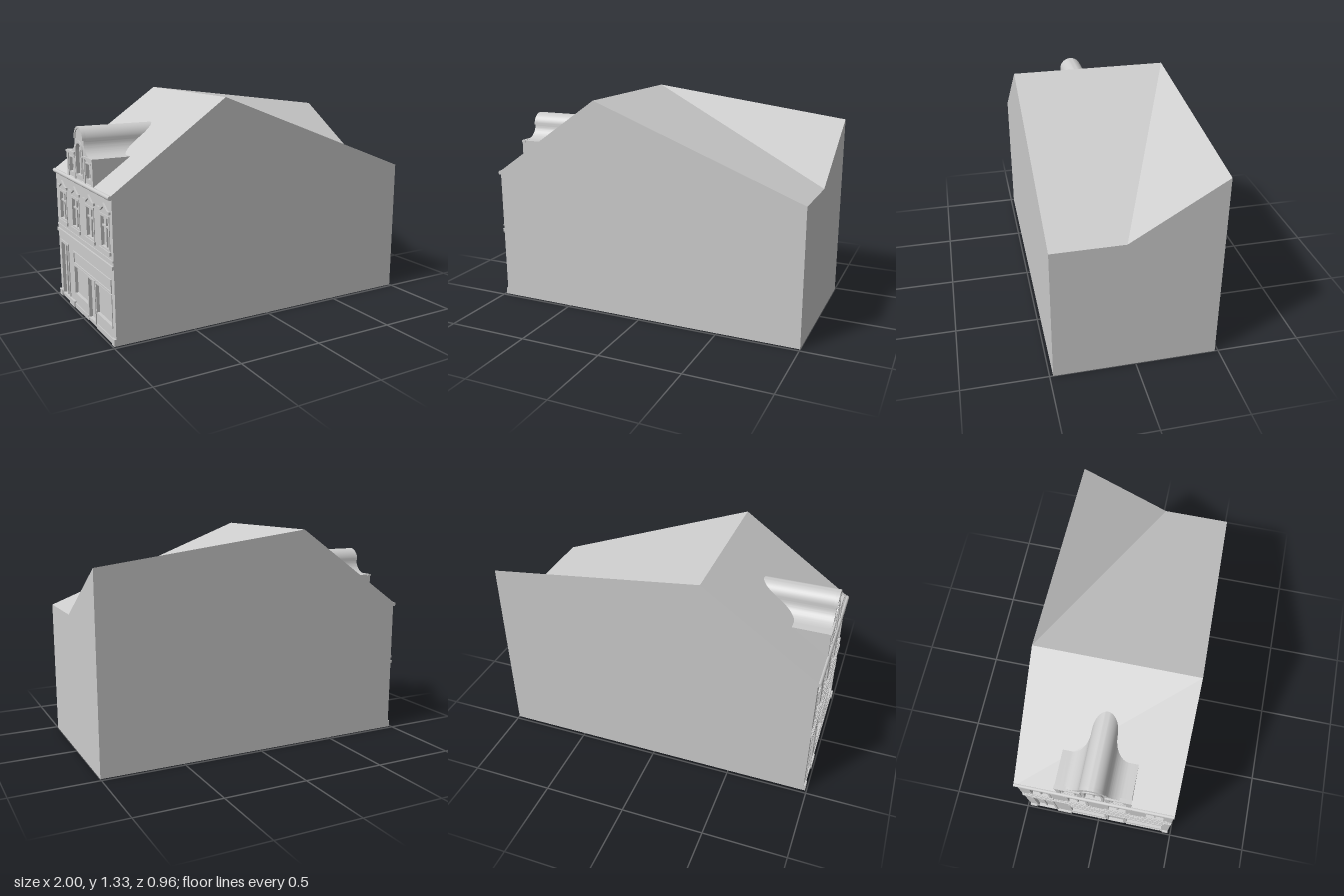
import * as THREE from 'three';
import { toCreasedNormals } from 'three/addons/utils/BufferGeometryUtils.js';

export function createModel() {
  const model = new THREE.Group();
  const grey = new THREE.MeshStandardMaterial({ color: 0xcccccc });
  grey.name = 'pale grey';

  const WALL = -0.98; // face of the street wall, which looks along -x
  const BACK = -0.965; // depth of the recesses
  const HALF = 0.48;

  function add(name, geometry, parent = model) {
    const mesh = new THREE.Mesh(geometry, grey);
    mesh.name = name;
    parent.add(mesh);
    return mesh;
  }
  function group(name) {
    const g = new THREE.Group();
    g.name = name;
    model.add(g);
    return g;
  }
  // Outline drawn in (z, y), pushed from x0 towards x1 (x1 < x0)
  function slab(name, shape, x0, x1, parent) {
    let geo = new THREE.ExtrudeGeometry(shape, { depth: x0 - x1, bevelEnabled: false, curveSegments: 12 });
    geo.rotateY(-Math.PI / 2);
    geo.translate(x0, 0, 0);
    geo = toCreasedNormals(geo, 0.6);
    return add(name, geo, parent);
  }
  // Box on the street wall spanning z0..z1, y0..y1, standing out to x1
  function block(name, z0, z1, y0, y1, x1, parent, x0 = BACK) {
    const geo = new THREE.BoxGeometry(x0 - x1, y1 - y0, z1 - z0);
    geo.translate((x0 + x1) / 2, (y0 + y1) / 2, (z0 + z1) / 2);
    return add(name, geo, parent);
  }
  function rect(z0, z1, y0, y1, Type = THREE.Path) {
    const p = new Type();
    p.moveTo(z0, y0);
    p.lineTo(z1, y0);
    p.lineTo(z1, y1);
    p.lineTo(z0, y1);
    p.closePath();
    return p;
  }
  function frame(name, z0, z1, y0, y1, width, x1, parent) {
    const s = rect(z0 - width, z1 + width, y0 - width, y1 + width, THREE.Shape);
    s.holes.push(rect(z0, z1, y0, y1));
    return slab(name, s, BACK, x1, parent);
  }

  // Main house: gable ends, with the rear roof twisted up at one corner
  const end = (z, h) => [[-0.29, 1.325, z], [-1, 0.828, z], [BACK, 0.828, z], [BACK, 0, z], [1, 0, z], [1, h, z]];
  const f = end(HALF, 0.83);
  const b = end(-HALF, 1.16);
  const kink = [1, 0.83, 0.065];
  const faces = [
    f, [...b.slice(0, 1), ...b.slice(1).reverse()],
    [f[0], b[0], b[1], f[1]], // street roof
    [f[1], b[1], b[2], f[2]], // eave underside
    [f[2], b[2], b[3], f[3]], // street wall
    [f[3], b[3], b[4], f[4]], // floor
    [kink, f[5], f[4], b[4], b[5]], // rear wall
    [f[0], f[5], kink, b[0]], [b[0], kink, b[5]], // rear roof
  ];
  const points = [];
  for (const p of faces) {
    for (let i = 1; i < p.length - 1; i++) points.push(...p[0], ...p[i], ...p[i + 1]);
  }
  const house = new THREE.BufferGeometry();
  house.setAttribute('position', new THREE.Float32BufferAttribute(points, 3));
  house.computeVertexNormals();
  add('house', house);

  // Street wall with openings
  const windows = [-0.35, -0.115, 0.135, 0.37];
  const wall = rect(-HALF, HALF, 0, 0.828, THREE.Shape);
  wall.holes.push(rect(-0.42, -0.30, 0.03, 0.37)); // house door
  wall.holes.push(rect(-0.19, 0.05, 0.09, 0.28), rect(0.06, 0.18, 0.03, 0.28), rect(0.19, 0.44, 0.09, 0.28));
  for (const z of windows) wall.holes.push(rect(z - 0.06, z + 0.06, 0.53, 0.71));
  slab('streetWall', wall, BACK, WALL);

  // Upper windows with cross bars, sills and pediments
  for (const z of windows) {
    const g = group('upperWindow');
    frame('windowFrame', z - 0.055, z + 0.055, 0.535, 0.705, 0.015, -0.984, g);
    block('mullion', z - 0.005, z + 0.005, 0.53, 0.71, -0.975, g);
    block('transom', z - 0.055, z + 0.055, 0.645, 0.655, -0.976, g);
    block('sill', z - 0.08, z + 0.08, 0.505, 0.525, -0.99, g);
    const p = new THREE.Shape();
    p.moveTo(z - 0.09, 0.735);
    p.lineTo(z - 0.05, 0.735);
    p.lineTo(z, 0.765);
    p.lineTo(z + 0.05, 0.735);
    p.lineTo(z + 0.09, 0.735);
    p.lineTo(z + 0.09, 0.75);
    p.lineTo(z + 0.055, 0.75);
    p.lineTo(z, 0.785);
    p.lineTo(z - 0.055, 0.75);
    p.lineTo(z - 0.09, 0.75);
    slab('pediment', p, BACK, -0.99, g);
  }

  // Ground floor: string courses, house door, shopfront and plinths
  block('stringCourse', -HALF, HALF, 0.435, 0.455, -0.99);
  block('upperCourse', -HALF, HALF, 0.475, 0.485, -0.985);
  const door = group('houseDoor');
  frame('doorFrame', -0.42, -0.30, 0.03, 0.37, 0.015, -0.986, door);
  block('doorPost', -0.372, -0.362, 0.03, 0.37, -0.975, door);
  const shop = group('shopfront');
  frame('signFrame', -0.18, 0.43, 0.30, 0.36, 0.01, -0.986, shop);
  frame('leftShopWindow', -0.18, 0.045, 0.10, 0.275, 0.01, -0.984, shop);
  frame('shopDoor', 0.07, 0.17, 0.03, 0.275, 0.01, -0.986, shop);
  frame('rightShopWindow', 0.195, 0.43, 0.10, 0.275, 0.01, -0.984, shop);
  for (const [z0, z1] of [[-0.48, -0.435], [-0.285, -0.19], [-0.19, 0.05], [0.19, 0.44], [0.44, 0.48]]) {
    block('plinth', z0, z1, 0, z1 - z0 > 0.2 ? 0.03 : 0.04, z1 - z0 > 0.2 ? -0.985 : -0.992);
  }

  // Gutter
  const gutter = new THREE.CylinderGeometry(0.013, 0.013, 2 * HALF, 12);
  gutter.rotateX(Math.PI / 2);
  gutter.translate(-0.987, 0.828, 0);
  add('gutter', gutter);

  // Dormer: swept shoulders rising to a round top
  function dormerShape(bottom) {
    const s = new THREE.Shape();
    s.moveTo(-0.222, bottom);
    s.lineTo(0.222, bottom);
    s.lineTo(0.222, 0.995);
    s.lineTo(0.17, 0.995);
    s.absellipse(0.17, 1.08, 0.095, 0.085, -Math.PI / 2, -Math.PI, true);
    s.absarc(0, 1.08, 0.075, 0, Math.PI, false);
    s.absellipse(-0.17, 1.08, 0.095, 0.085, 0, -Math.PI / 2, true);
    s.lineTo(-0.222, 0.995);
    s.closePath();
    return s;
  }
  function arch(r, y0, y1, Type) {
    const p = new Type();
    p.moveTo(-r, y0);
    p.lineTo(r, y0);
    p.lineTo(r, y1);
    p.absarc(0, y1, r, 0, Math.PI, false);
    p.closePath();
    return p;
  }
  const dormer = group('dormer');
  slab('dormerBody', dormerShape(0.835), -0.5, BACK, dormer);
  const face = dormerShape(0.835);
  face.holes.push(arch(0.05, 0.87, 1.01, THREE.Path));
  for (const s of [-1, 1]) {
    const z = s * 0.145;
    face.holes.push(rect(z - 0.035, z + 0.035, 0.87, 0.96));
    frame('sidePanel', z - 0.033, z + 0.033, 0.872, 0.958, 0.008, -0.984, dormer);
    block('pilaster', s * 0.208 - 0.014, s * 0.208 + 0.014, 0.84, 0.985, -0.986, dormer);
    block('innerPilaster', s * 0.083 - 0.012, s * 0.083 + 0.012, 0.84, 0.985, -0.986, dormer);
    block('shoulderCap', s * 0.15 - 0.075, s * 0.15 + 0.075, 0.982, 0.996, -0.99, dormer);
  }
  slab('dormerFace', face, BACK, WALL, dormer);
  const surround = arch(0.062, 0.86, 1.01, THREE.Shape);
  surround.holes.push(arch(0.048, 0.875, 1.01, THREE.Path));
  slab('archSurround', surround, BACK, -0.987, dormer);
  block('archMullion', -0.004, 0.004, 0.87, 1.055, -0.975, dormer);
  const rim = new THREE.Shape();
  rim.absarc(0, 1.08, 0.075, 0, Math.PI, false);
  rim.absarc(0, 1.08, 0.062, Math.PI, 0, true);
  slab('topMoulding', rim, BACK, -0.986, dormer);

  return model;
}
